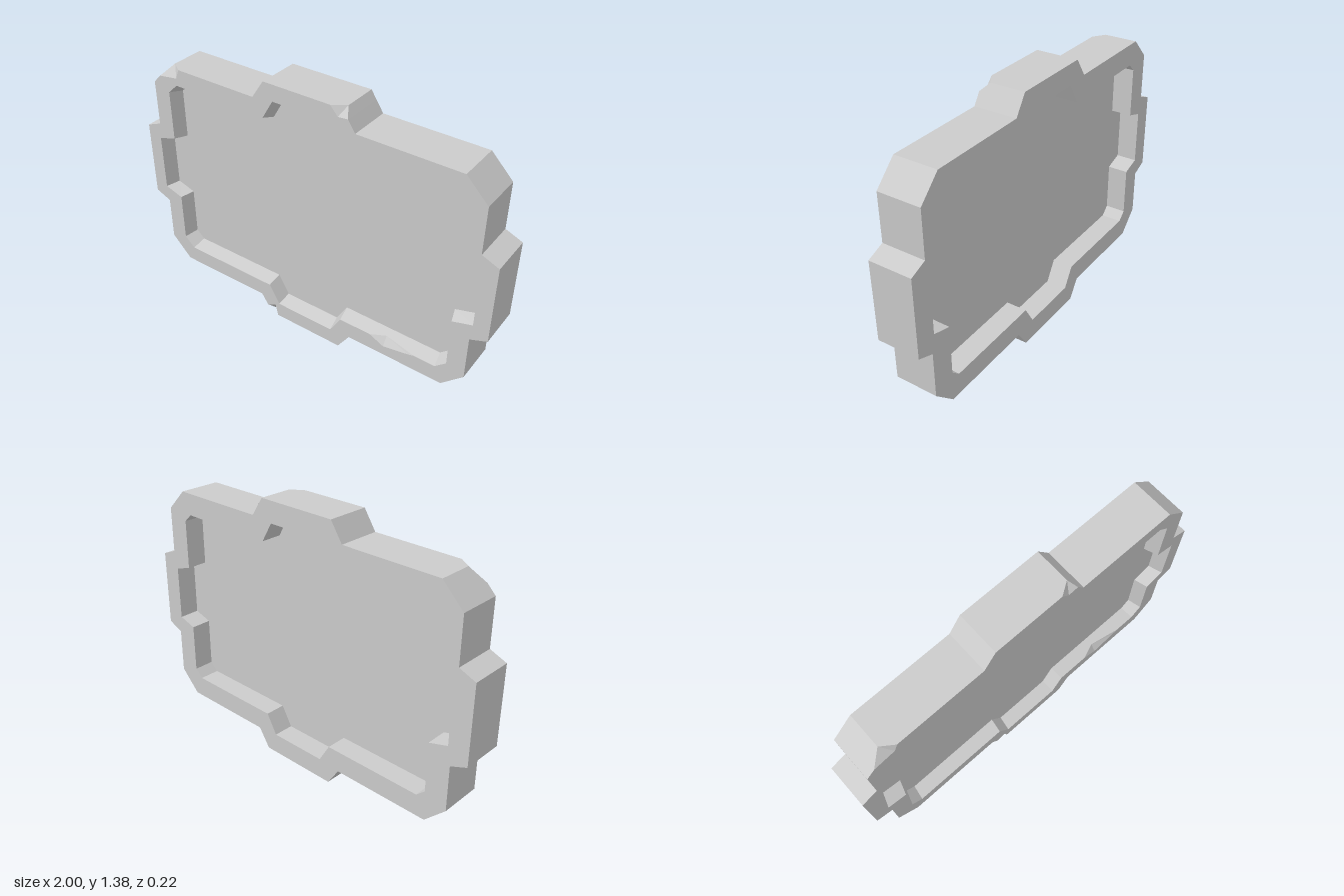
import * as THREE from 'three';
import { mergeGeometries } from 'three/addons/utils/BufferGeometryUtils.js';

const MID = 0.6875;        // height of the horizontal symmetry axis
const FACE_Z = 0.11;       // front and back faces of the frame
const PANEL_FRONT = 0.038; // front of the inset panel
const PANEL_BACK = 0;      // back of the inset panel

// Quarter profiles, from the right-hand side up to the top
const OUTER = [[1, 0.892], [0.914, 0.927], [0.914, 1.167], [0.803, 1.278], [0.28, 1.278], [0.215, 1.375]];
const INNER = [[0.922, 0.838], [0.82, 0.87], [0.82, 1.135], [0.763, 1.188], [0.225, 1.188], [0.165, 1.29]];
const PANEL = [[0.896, 0.832], [0.797, 0.862], [0.797, 1.122], [0.752, 1.164], [0.217, 1.164], [0.157, 1.266]];

// Mirror a quarter profile into a full counter-clockwise loop
function fullLoop(quarter) {
  const flip = (list, sx, sy) => list.map(([x, y]) => [x * sx, MID + (y - MID) * sy]);
  const back = [...quarter].reverse();
  return [...flip(quarter, 1, 1), ...flip(back, -1, 1), ...flip(quarter, -1, -1), ...flip(back, 1, -1)];
}

const atZ = (loop, z) => loop.map(([x, y]) => [x, y, z]);
const toShape = (loop) => new THREE.Shape(loop.map(([x, y]) => new THREE.Vector2(x, y)));

function ringFace(outer, inner) {
  const shape = toShape(outer);
  shape.holes.push(toShape(inner));
  return new THREE.ShapeGeometry(shape);
}

function fromTriangles(triangles) {
  const geometry = new THREE.BufferGeometry();
  geometry.setAttribute('position', new THREE.Float32BufferAttribute(triangles.flat(2), 3));
  return geometry;
}

// Wall between two loops with equal point counts
function wall(front, back) {
  const triangles = [];
  front.forEach((a, i) => {
    const j = (i + 1) % front.length;
    triangles.push([a, back[i], back[j]], [a, back[j], front[j]]);
  });
  return fromTriangles(triangles);
}

// Broken facet: fan from the deep point to the points on the front face
function chipFacet({ start, deep, end, face }) {
  const rim = atZ([start, ...face, end], FACE_Z);
  return fromTriangles(rim.slice(1).map((p, i) => [deep, rim[i], p]));
}

// Chipped corners, keyed by the outer corner they replace
const CORNER_CHIPS = {
  5: { start: [0.242, 1.335], deep: [0.215, 1.375, 0.068], end: [0.15, 1.375], face: [[0.19, 1.33]] },
  8: { start: [-0.74, 1.278], deep: [-0.803, 1.278, 0.065], end: [-0.87, 1.211], face: [[-0.76, 1.227]] },
  17: { start: [-0.242, 0.04], deep: [-0.215, 0, 0.068], end: [-0.175, 0], face: [[-0.19, 0.065]] },
};
// Long chip on the lower inner rim, inserted after this inner corner
const RIM_CORNER = 19;
const RIM_CHIP = { start: [0.4, 0.187], deep: [0.48, 0.197, 0.08], end: [0.65, 0.187], face: [[0.48, 0.15], [0.62, 0.178]] };

function frameGeometry() {
  const outer = fullLoop(OUTER), inner = fullLoop(INNER), panel = fullLoop(PANEL);
  const chipEdge = (c) => [[...c.start, FACE_Z], c.deep, [...c.end, FACE_Z]];
  const chipRim = (c) => [c.start, ...c.face, c.end];

  // Outer wall and front outline, with the chipped corners
  const outerEdge = outer.flatMap((p, i) => CORNER_CHIPS[i] ? chipEdge(CORNER_CHIPS[i]) : [[...p, FACE_Z]]);
  const outerFace = outer.flatMap((p, i) => CORNER_CHIPS[i] ? chipRim(CORNER_CHIPS[i]) : [p]);

  // Tapered front opening, with the rim chip
  const insertAfter = (loop, extra) => loop.flatMap((p, i) => i === RIM_CORNER ? [p, ...extra] : [p]);
  const innerEdge = insertAfter(atZ(inner, FACE_Z), chipEdge(RIM_CHIP));
  const innerFace = insertAfter(inner, chipRim(RIM_CHIP));
  const panelEdge = insertAfter(atZ(panel, PANEL_FRONT), chipEdge(RIM_CHIP).map(([x]) => [x, panel[RIM_CORNER][1], PANEL_FRONT]));

  const parts = [
    ringFace(outerFace, innerFace).translate(0, 0, FACE_Z),
    ringFace(outer, panel).rotateY(Math.PI).translate(0, 0, -FACE_Z),
    wall(outerEdge, atZ(outerEdge, -FACE_Z)),
    wall(panelEdge, innerEdge),
    // Straight-sided back opening
    wall(atZ(panel, -FACE_Z), atZ(panel, PANEL_BACK)),
    ...[...Object.values(CORNER_CHIPS), RIM_CHIP].map(chipFacet),
  ].map((g) => {
    const flat = g.index ? g.toNonIndexed() : g;
    flat.deleteAttribute('uv');
    flat.computeVertexNormals();
    return flat;
  });
  return mergeGeometries(parts);
}

export function createModel() {
  const group = new THREE.Group();
  const material = new THREE.MeshStandardMaterial({ color: 0xcccccc, flatShading: true, side: THREE.DoubleSide });

  const frame = new THREE.Mesh(frameGeometry(), material);
  frame.name = 'chippedFrame';

  // Inset slab, recessed from both faces and deeper at the back
  const slab = new THREE.ExtrudeGeometry(toShape(fullLoop(PANEL)), { depth: PANEL_FRONT - PANEL_BACK, bevelEnabled: false });
  const panel = new THREE.Mesh(slab.translate(0, 0, PANEL_BACK), material);
  panel.name = 'insetPanel';

  group.add(frame, panel);
  return group;
}
